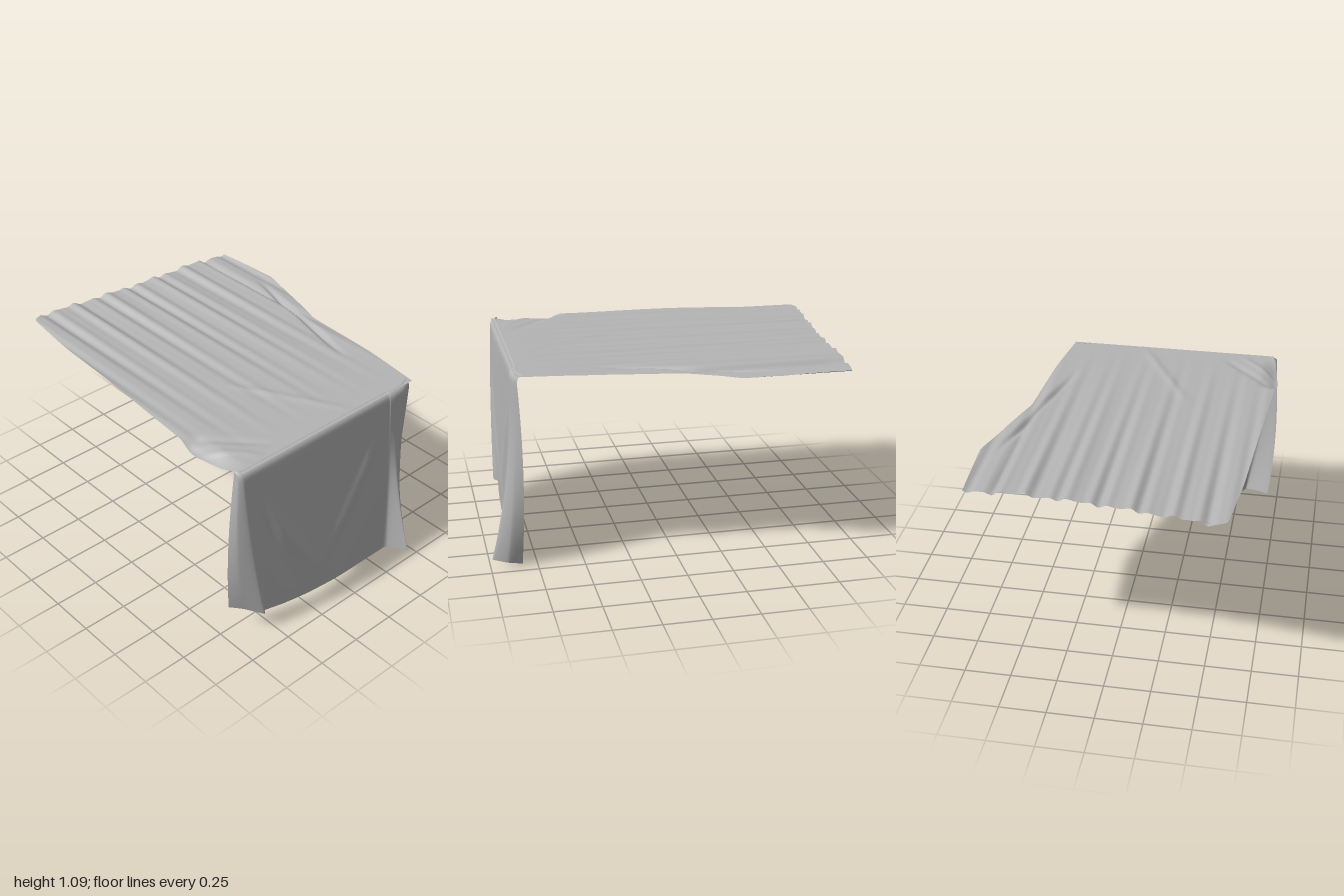
import * as THREE from 'three';

const clamp = THREE.MathUtils.clamp, lerp = THREE.MathUtils.lerp, smooth = THREE.MathUtils.smoothstep;

// piecewise-linear lookup through [key, value] pairs
function along(pairs, k) {
  for (let i = 1; i < pairs.length; i++) {
    const [a, va] = pairs[i - 1], [b, vb] = pairs[i];
    if (k <= b) return lerp(va, vb, clamp((k - a) / (b - a), 0, 1));
  }
  return pairs[pairs.length - 1][1];
}

// outline of the flat part, seen from above
const FRONT = [[-1, 0.58], [-0.97, 0.61], [-0.6, 0.65], [0, 0.69], [0.38, 0.715], [0.55, 0.73], [0.68, 0.71], [0.8, 0.69], [0.85, 0.68]];
const BACK = [[-0.9, -0.72], [-0.48, -0.74], [-0.3, -0.7], [-0.12, -0.64], [0.03, -0.59], [0.5, -0.555], [0.85, -0.51]];
const LEFT = [[0, -0.88], [0.47, -0.915], [0.98, -1], [1, -0.98]];

// long soft creases on the flat part: start, end, depth, width
const CREASES = [
  [-0.45, -0.645, 0.44, -0.42, 0.022, 0.016],
  [-0.92, -0.565, -0.1, -0.56, 0.01, 0.014],
  [0.2, 0.25, 0.84, -0.1, -0.006, 0.025],
  [0.45, 0.7, 0.76, 0.4, 0.008, 0.022],
  [0.58, 0.7, 0.8, 0.5, -0.006, 0.02],
];

function crease(x, z, [ax, az, bx, bz, depth, width]) {
  const dx = bx - ax, dz = bz - az, len = Math.hypot(dx, dz);
  const t = ((x - ax) * dx + (z - az) * dz) / (len * len);
  const d = ((x - ax) * dz - (z - az) * dx) / len;
  return -depth * smooth(t, -0.1, 0.25) * (1 - smooth(t, 0.7, 1.05)) * Math.exp(-(d * d) / (width * width));
}

function topHeight(x, z) {
  // ripples run lengthwise and fade towards the hanging end
  const fade = clamp((0.75 - x) / 1.5, 0, 1);
  const ripple = Math.sin(z * 58 + 0.6 * Math.sin(z * 7)) * 0.6 + Math.sin(z * 93 + 1) * 0.25 + Math.sin(z * 23 + x) * 0.4;
  let y = 1.077 + ripple * 0.011 * fade;
  // drooping back lobe and front lip
  y -= 0.11 * Math.max(0, -0.5 - z) * smooth(-x, -0.5, 0.2);
  y -= 0.035 * smooth(z, 0.62, 0.73) * smooth(x, 0.42, 0.52) * (1 - smooth(x, 0.7, 0.84));
  for (const c of CREASES) y += crease(x, z, c);
  return y;
}

// hanging part: each column gives top, middle and bottom points, front to back
const COLUMNS = [
  [0.80, 1.065, 0.70, 0.785, 0.60, 0.725, 0.76, 0.17, 0.70],
  [0.83, 1.08, 0.70, 0.83, 0.60, 0.70, 0.81, 0.155, 0.64],
  [0.845, 1.08, 0.685, 0.868, 0.60, 0.64, 0.88, 0.12, 0.56],
  [0.85, 1.08, 0.64, 0.86, 0.60, 0.57, 0.855, 0.11, 0.53],
  [0.85, 1.08, 0.50, 0.87, 0.58, 0.44, 0.865, 0.085, 0.40],
  [0.85, 1.08, 0.30, 0.87, 0.56, 0.26, 0.87, 0.055, 0.22],
  [0.85, 1.08, 0.10, 0.865, 0.55, 0.05, 0.865, 0.025, 0],
  [0.85, 1.08, -0.15, 0.86, 0.55, -0.17, 0.855, 0.01, -0.20],
  [0.85, 1.08, -0.32, 0.86, 0.55, -0.33, 0.85, 0.003, -0.34],
  [0.855, 1.08, -0.335, 0.865, 0.55, -0.365, 0.865, 0.015, -0.40],
  [0.86, 1.08, -0.37, 0.89, 0.55, -0.40, 0.99, 0.05, -0.43],
  [0.855, 1.08, -0.44, 0.86, 0.55, -0.455, 0.91, 0.035, -0.455],
  [0.835, 1.08, -0.50, 0.815, 0.55, -0.49, 0.83, 0.01, -0.43],
];

function rowCurve(t) {
  const a = (1 - t) * (1 - 2 * t), b = 4 * t * (1 - t), c = t * (2 * t - 1);
  const points = COLUMNS.map((k) => new THREE.Vector3(
    a * k[0] + b * k[3] + c * k[6], a * k[1] + b * k[4] + c * k[7], a * k[2] + b * k[5] + c * k[8]));
  return new THREE.CatmullRomCurve3(points, false, 'catmullrom', 0.3);
}

// shallow folds falling diagonally from the upper corners: z at top, z at bottom
function dropFolds(y, z) {
  let d = 0;
  for (const [z0, z1, depth] of [[0.72, 0.1, 0.012], [0.66, 0.32, -0.012], [-0.4, 0.2, 0.01]]) {
    const off = (z - lerp(z0, z1, 1.08 - y)) / 0.045;
    d += depth * Math.exp(-off * off) * smooth(y, 0.1, 0.5) * (1 - smooth(y, 0.85, 1.05));
  }
  return d * smooth(z, -0.3, -0.15) * (1 - smooth(z, 0.5, 0.62));
}

// plane whose vertices are placed by a rule of (u, v)
function sheet(nu, nv, rule) {
  const geometry = new THREE.PlaneGeometry(1, 1, nu, nv);
  const position = geometry.attributes.position, uv = geometry.attributes.uv;
  for (let i = 0; i < position.count; i++) position.setXYZ(i, ...rule(uv.getX(i), uv.getY(i)));
  geometry.computeVertexNormals();
  return geometry;
}

export function createModel() {
  const model = new THREE.Group();
  const cloth = new THREE.MeshStandardMaterial({ color: 0xb4b4b4, side: THREE.DoubleSide });
  cloth.name = 'grey cloth';
  const add = (name, geometry) => {
    const mesh = new THREE.Mesh(geometry, cloth);
    mesh.name = name;
    model.add(mesh);
  };

  // flat rippled cover
  add('clothTop', sheet(90, 150, (u, v) => {
    const x = lerp(along(LEFT, 1 - v), 0.84, u);
    const z = lerp(along(FRONT, x), along(BACK, x), v);
    return [x, topHeight(x, z), z];
  }));

  // hanging end with a folded corner on each side
  const rows = 60;
  const curves = Array.from({ length: rows + 1 }, (_, i) => rowCurve(Math.pow(i / rows, 1.6)));
  add('clothDrop', sheet(120, rows, (u, v) => {
    const row = Math.round((1 - v) * rows), t = Math.pow(row / rows, 1.6);
    const p = curves[row].getPoint(u);
    const tuck = 0.03 * Math.exp(-t / 0.012) * smooth(u, 0, 0.1);
    return [p.x - tuck + dropFolds(p.y, p.z), p.y, p.z];
  }));

  return model;
}
